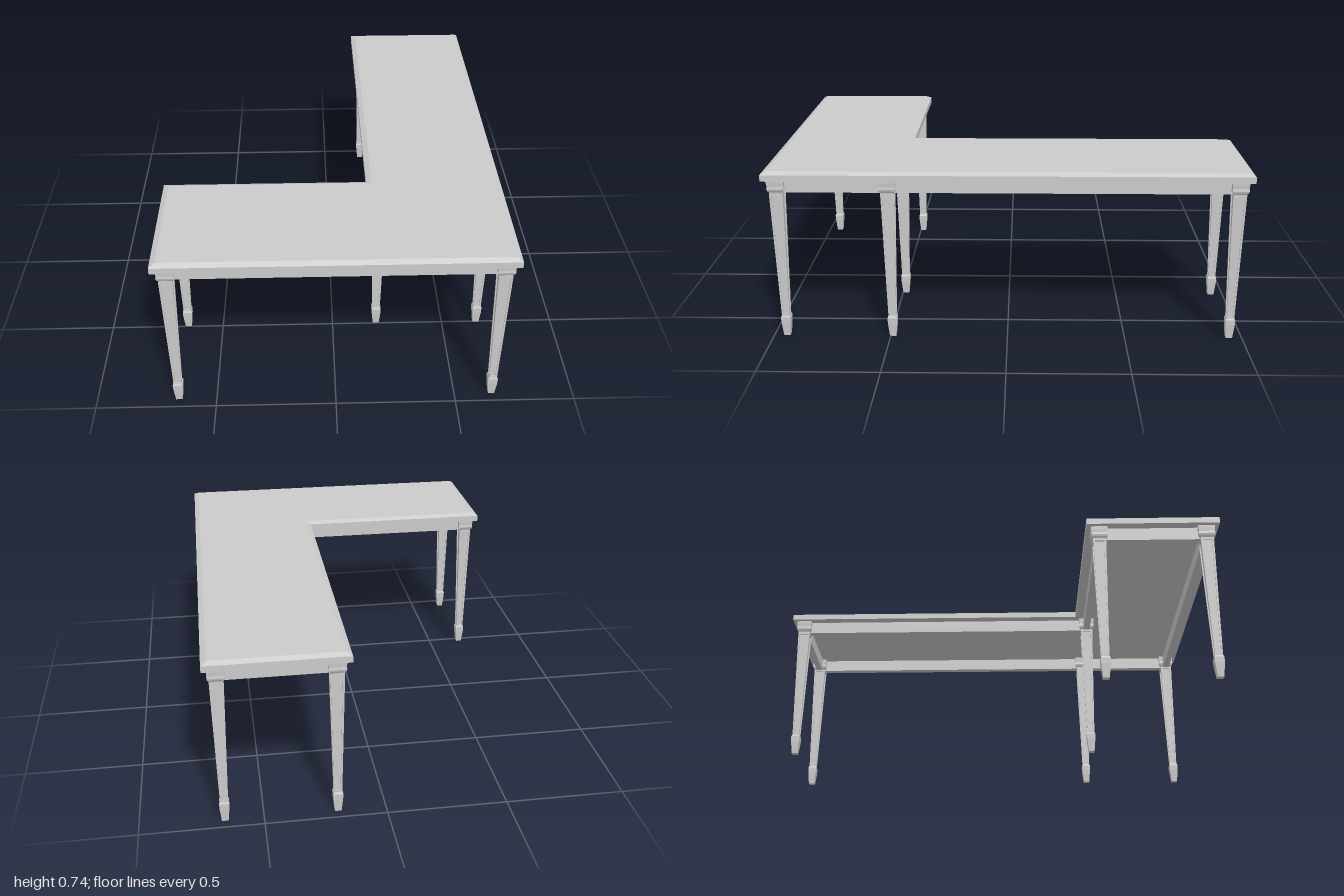
import * as THREE from 'three';

const material = new THREE.MeshStandardMaterial({ color: 0xcccccc });

// Joins equal-length outlines (x, -z), listed from bottom to top, and caps both ends
function loft(rings) {
  const pos = [];
  const put = (r, p) => pos.push(p.x, r.y, -p.y);
  for (let i = 0; i < rings.length - 1; i++) {
    const lo = rings[i], hi = rings[i + 1], n = lo.pts.length;
    for (let j = 0; j < n; j++) {
      const k = (j + 1) % n;
      put(lo, lo.pts[j]); put(lo, lo.pts[k]); put(hi, hi.pts[k]);
      put(lo, lo.pts[j]); put(hi, hi.pts[k]); put(hi, hi.pts[j]);
    }
  }
  const first = rings[0], last = rings[rings.length - 1];
  for (const [a, b, c] of THREE.ShapeUtils.triangulateShape(last.pts.slice(), []))
    for (const i of [a, b, c]) put(last, last.pts[i]);
  for (const [a, b, c] of THREE.ShapeUtils.triangulateShape(first.pts.slice(), []))
    for (const i of [a, c, b]) put(first, first.pts[i]);
  const geo = new THREE.BufferGeometry();
  geo.setAttribute('position', new THREE.Float32BufferAttribute(pos, 3));
  geo.computeVertexNormals();
  return geo;
}

function part(name, geo) {
  const mesh = new THREE.Mesh(geo, material);
  mesh.name = name;
  return mesh;
}

// L-shaped outline, moved inward by d on every edge
function outlineL(d) {
  const X = 0.712 - d, Z = 1 - d, ix = 0.143 + d, iz = 0.43 + d;
  return [[-X, Z], [X, Z], [X, -Z], [ix, -Z], [ix, iz], [-X, iz]]
    .map(([x, z]) => new THREE.Vector2(x, -z));
}

// Square of half width w
const square = (w) => [[w, -w], [w, w], [-w, w], [-w, -w]].map(([x, y]) => new THREE.Vector2(x, y));

// Square of half width w with a channel of half width n and depth d in each side
function paneledSquare(w, n, d) {
  const pts = [];
  for (let s = 0; s < 4; s++) {
    for (const [u, v] of [[-w, w], [-n, w], [-n, w - d], [n, w - d], [n, w]]) {
      let x = v, y = u;
      for (let k = 0; k < s; k++) [x, y] = [-y, x];
      pts.push(new THREE.Vector2(x, y));
    }
  }
  return pts;
}

const squares = (profile) => loft(profile.map(([y, w]) => ({ y, pts: square(w) })));

export function createModel() {
  const group = new THREE.Group();
  group.name = 'cornerTable';

  // Top with a shallow bevel all round
  group.add(part('tabletop', loft([[0.703, 0], [0.73, 0], [0.741, 0.022]]
    .map(([y, d]) => ({ y, pts: outlineL(d) })))));

  // Apron frame under the top
  const frame = new THREE.Shape(outlineL(0.04));
  frame.holes.push(new THREE.Path(outlineL(0.07)));
  const apronGeo = new THREE.ExtrudeGeometry(frame, { depth: 0.059, bevelEnabled: false });
  apronGeo.rotateX(-Math.PI / 2).translate(0, 0.645, 0);
  group.add(part('apron', apronGeo));

  // Leg parts: flared block, tapered shaft with sunk panels, spade foot
  const capitalGeo = squares([[0.64, 0.027], [0.648, 0.028], [0.656, 0.033],
    [0.664, 0.0355], [0.675, 0.034], [0.69, 0.0355], [0.704, 0.036]]);
  const shaftGeo = loft([[0.085, 0.016, 0.009, 0], [0.1, 0.0165, 0.0095, 0], [0.1, 0.0165, 0.0095, 0.004],
    [0.635, 0.028, 0.02, 0.005], [0.635, 0.028, 0.02, 0], [0.645, 0.028, 0.02, 0]]
    .map(([y, w, n, d]) => ({ y, pts: paneledSquare(w, n, d) })));
  const footGeo = squares([[0, 0.0135], [0.03, 0.0165], [0.06, 0.0195], [0.085, 0.0205], [0.094, 0.0165]]);

  // One leg at each corner of the L and one on the long outer side
  const spots = [...outlineL(0.055), new THREE.Vector2(0.657, -0.49)];
  for (const p of spots) {
    const leg = new THREE.Group();
    leg.name = 'leg';
    leg.add(part('legCapital', capitalGeo), part('legShaft', shaftGeo), part('legFoot', footGeo));
    leg.position.set(p.x, 0, -p.y);
    group.add(leg);
  }
  return group;
}
